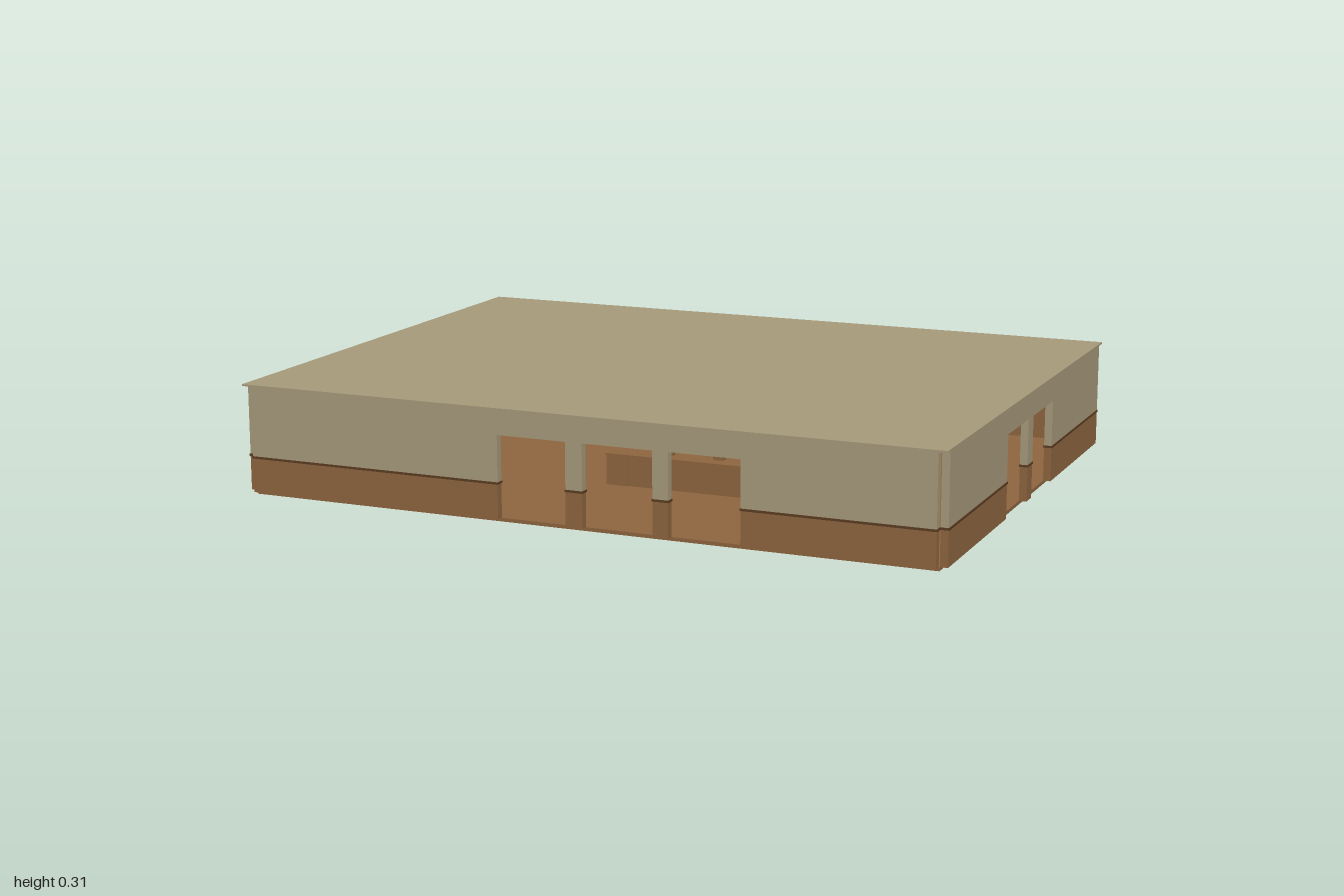
import * as THREE from 'three';

export function createModel() {
  const model = new THREE.Group();
  const mat = (name, color) => {
    const m = new THREE.MeshStandardMaterial({ color });
    m.name = name;
    return m;
  };
  const tan = mat('tan plaster', 0xa89b7c);
  const brown = mat('brown wood', 0x8f6640);
  const dark = mat('dark wood trim', 0x5c3c22);

  // Box given by its lower and upper limits on each axis
  function box(parent, name, material, x0, x1, y0, y1, z0, z1) {
    const mesh = new THREE.Mesh(new THREE.BoxGeometry(x1 - x0, y1 - y0, z1 - z0), material);
    mesh.position.set((x0 + x1) / 2, (y0 + y1) / 2, (z0 + z1) / 2);
    mesh.name = name;
    parent.add(mesh);
  }

  const FLOOR = 0.01, RAIL = 0.105, BAND = 0.111, DOOR = 0.238, TOP = 0.305;

  // Wall running along x or z, with doorways given as [start, end]
  function wall(name, axis, half, near, far, doors) {
    const group = new THREE.Group();
    group.name = name;
    const part = (label, material, a, b, y0, y1, grow = 0) => {
      const run = [a - grow, b + grow], depth = [near - grow, far + grow];
      const [x, z] = axis === 'x' ? [run, depth] : [depth, run];
      box(group, label, material, x[0], x[1], y0, y1, z[0], z[1]);
    };
    let start = -half;
    for (const [a, b] of [...doors, [half, half]]) {
      part('wainscot', brown, start, a, FLOOR, RAIL);
      part('chairRail', dark, start, a, RAIL, BAND, 0.002);
      part('upperWall', tan, start, a, BAND, TOP);
      if (b > a) part('lintel', tan, a, b, DOOR, TOP);
      start = b;
    }
    model.add(group);
  }

  const frontDoors = [[-0.225, -0.028], [0.02, 0.218], [0.262, 0.46]];
  const sideDoors = [[-0.22, -0.022], [0.026, 0.222]];
  wall('frontWall', 'x', 0.975, 0.732, 0.754, frontDoors);
  wall('backWall', 'x', 0.975, -0.754, -0.732, []);
  wall('leftWall', 'z', 0.73, 0.977, 0.998, sideDoors);
  wall('rightWall', 'z', 0.73, -0.998, -0.977, sideDoors);

  // Floor slab and roof
  box(model, 'floor', brown, -0.977, 0.977, 0, FLOOR, -0.732, 0.732);
  box(model, 'roof', tan, -1, 1, TOP, 0.31, -0.756, 0.756);

  // Reception desk with two wings, mirrored about its middle
  const desk = new THREE.Group();
  desk.name = 'receptionDesk';
  desk.position.x = 0.12;
  model.add(desk);
  box(desk, 'deskFront', brown, -0.18, 0.18, FLOOR, 0.094, 0.27, 0.29);
  box(desk, 'deskTop', brown, -0.245, 0.245, 0.094, 0.1, 0.165, 0.3);
  for (const s of [-1, 1]) {
    const mirrored = (name, material, a, b, y0, y1, z0, z1) =>
      box(desk, name, material, Math.min(s * a, s * b), Math.max(s * a, s * b), y0, y1, z0, z1);
    mirrored('deskWing', brown, 0.18, 0.245, FLOOR, 0.094, 0.095, 0.295);
    mirrored('wingTop', brown, 0.178, 0.247, 0.094, 0.102, 0.09, 0.165);
    mirrored('phone', brown, 0.195, 0.23, 0.102, 0.125, 0.117, 0.145);
    // Screen and stand
    mirrored('monitorStand', brown, 0.06, 0.09, 0.1, 0.13, 0.24, 0.26);
    mirrored('monitor', tan, 0.02, 0.13, 0.13, 0.182, 0.245, 0.255);
  }

  return model;
}
